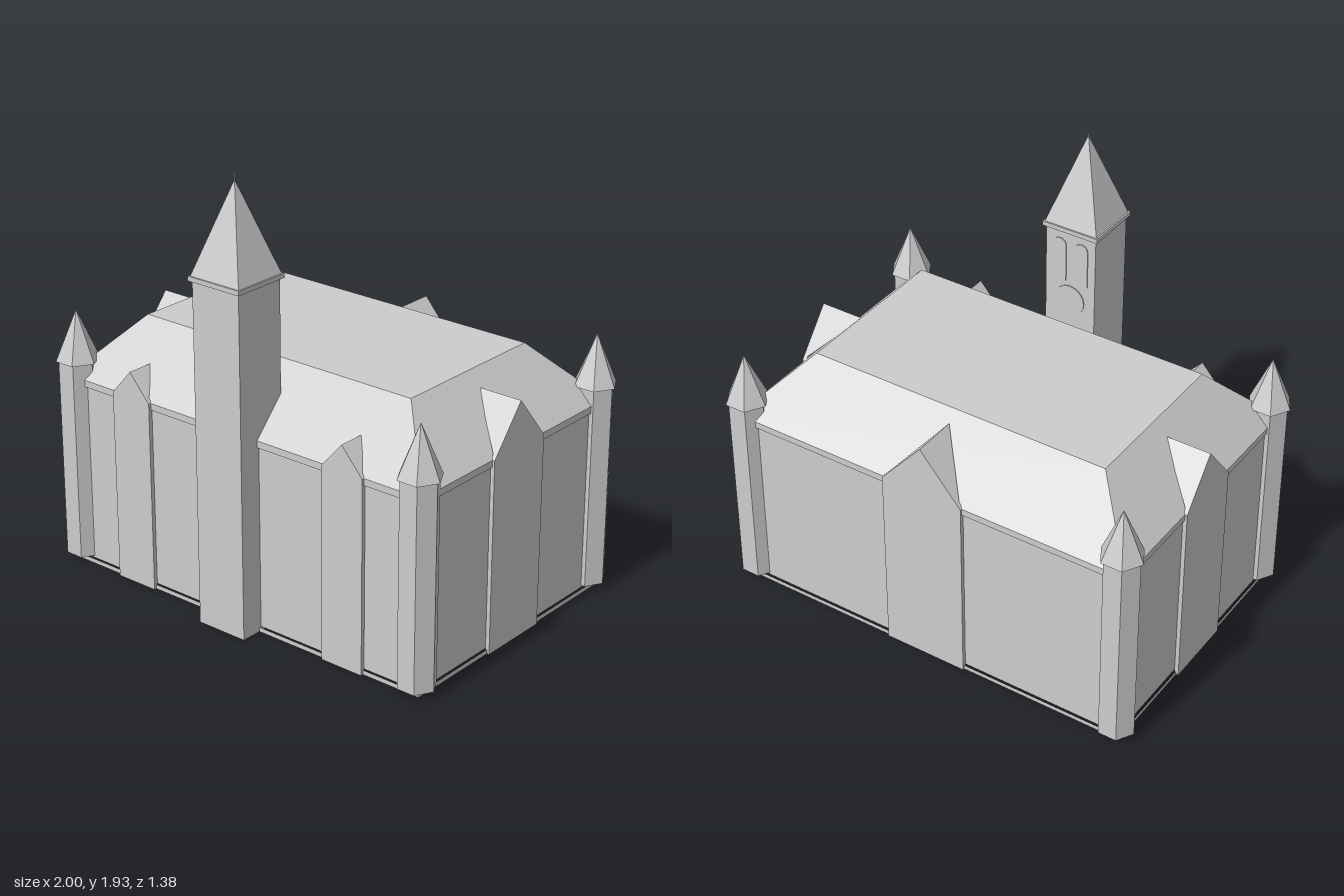
import * as THREE from 'three';

const stone = new THREE.MeshStandardMaterial({ color: 0xcccccc, side: THREE.DoubleSide, flatShading: true });
stone.name = 'pale grey stone';

const EAVE = 0.85, RIDGE = 1.11;
const X = 0.938, ZF = 0.585, ZB = -0.645;

function add(parent, name, geometry, x = 0, y = 0, z = 0, ry = 0) {
  const mesh = new THREE.Mesh(geometry, stone);
  mesh.name = name;
  mesh.position.set(x, y, z);
  mesh.rotation.y = ry;
  parent.add(mesh);
  return mesh;
}

// Flat polygons, each given as a loop of corners, fanned into triangles
function faces(polys) {
  const p = [];
  for (const poly of polys)
    for (let i = 1; i < poly.length - 1; i++) p.push(...poly[0], ...poly[i], ...poly[i + 1]);
  const g = new THREE.BufferGeometry();
  g.setAttribute('position', new THREE.Float32BufferAttribute(p, 3));
  g.computeVertexNormals();
  return g;
}

// Gabled bay facing its own +z, with a small roof running back into the main roof
function gable(parent, name, half, peak, depth, x, z, ry) {
  const bay = new THREE.Group();
  bay.name = name;
  bay.position.set(x, 0, z);
  bay.rotation.y = ry;
  const s = new THREE.Shape();
  s.moveTo(-half, 0);
  s.lineTo(half, 0);
  s.lineTo(half, EAVE);
  s.lineTo(0, peak);
  s.lineTo(-half, EAVE);
  const front = new THREE.ExtrudeGeometry(s, { depth: 0.018, bevelEnabled: false });
  add(bay, 'gableWall', front, 0, 0, -0.018);
  add(bay, 'gableRoof', faces([
    [[half, EAVE, 0], [0, peak, -depth], [0, peak, 0]],
    [[-half, EAVE, 0], [0, peak, 0], [0, peak, -depth]],
  ]));
  parent.add(bay);
}

export function createModel() {
  const model = new THREE.Group();
  model.name = 'towerHall';
  const zMid = (ZF + ZB) / 2, length = ZF - ZB;

  // Thin walls with a base strip and an eave strip set slightly forward
  const sides = [
    ['front', 0, ZF, 0, 2 * X], ['back', 0, ZB, Math.PI, 2 * X],
    ['left', X, zMid, Math.PI / 2, length], ['right', -X, zMid, -Math.PI / 2, length],
  ];
  for (const [name, x, z, ry, w] of sides) {
    const side = new THREE.Group();
    side.name = name + 'Side';
    side.position.set(x, 0, z);
    side.rotation.y = ry;
    add(side, 'wall', new THREE.PlaneGeometry(w - 0.02, 0.83), 0, 0.435, -0.01);
    add(side, 'baseStrip', new THREE.PlaneGeometry(w, 0.02), 0, 0.01, 0);
    add(side, 'eaveStrip', new THREE.PlaneGeometry(w, EAVE - 0.82), 0, (EAVE + 0.82) / 2, 0);
    model.add(side);
  }

  // Hipped roof with a flat top
  const low = [[-X, EAVE, ZF], [X, EAVE, ZF], [X, EAVE, ZB], [-X, EAVE, ZB]];
  const high = [[-0.695, RIDGE, 0.345], [0.695, RIDGE, 0.345], [0.695, RIDGE, -0.4], [-0.695, RIDGE, -0.4]];
  const roof = [high];
  for (let i = 0; i < 4; i++) {
    const j = (i + 1) % 4;
    roof.push([low[i], low[j], high[j], high[i]]);
  }
  add(model, 'mainRoof', faces(roof));

  // Gabled bays
  for (const s of [-1, 1]) {
    gable(model, 'frontGable', 0.102, 0.965, 0.127, s * 0.56, 0.597, 0);
    gable(model, 'sideGable', 0.165, 1.05, 0.205, s * 0.948, -0.025, s * Math.PI / 2);
  }
  gable(model, 'backGable', 0.19, 1.07, 0.203, 0, -0.653, Math.PI);

  // Six-sided corner turrets
  for (const x of [-0.905, 0.905]) {
    for (const z of [0.555, -0.61]) {
      const turret = new THREE.Group();
      turret.name = 'cornerTurret';
      turret.position.set(x, 0, z);
      add(turret, 'turretShaft', new THREE.CylinderGeometry(0.083, 0.083, 0.89, 6), 0, 0.475, 0, Math.PI / 6);
      add(turret, 'turretCap', new THREE.ConeGeometry(0.095, 0.222, 6), 0, 1.031, 0, Math.PI / 6);
      model.add(turret);
    }
  }

  // Front tower with cornice, spire and finial
  const tower = new THREE.Group();
  tower.name = 'tower';
  tower.position.z = 0.56;
  add(tower, 'towerShaft', new THREE.BoxGeometry(0.24, 1.49, 0.24), 0, 0.745, 0);
  add(tower, 'cornice', new THREE.BoxGeometry(0.264, 0.02, 0.264), 0, 1.5, 0);
  add(tower, 'spire', new THREE.ConeGeometry(0.125 * Math.SQRT2, 0.385, 4), 0, 1.7025, 0, Math.PI / 4);
  add(tower, 'finial', new THREE.CylinderGeometry(0.002, 0.004, 0.06, 6), 0, 1.9, 0);

  // Arched openings and round dial on the back of the tower
  const arch = new THREE.Shape();
  arch.moveTo(-0.032, 0);
  arch.lineTo(0.032, 0);
  arch.lineTo(0.032, 0.17);
  arch.absarc(0, 0.17, 0.032, 0, Math.PI, false);
  const archPlate = new THREE.ExtrudeGeometry(arch, { depth: 0.004, bevelEnabled: false, curveSegments: 8 });
  for (const s of [-1, 1]) add(tower, 'archPlate', archPlate, s * 0.052, 1.25, -0.12, Math.PI);
  const dial = new THREE.CylinderGeometry(0.07, 0.07, 0.004, 20).rotateX(Math.PI / 2);
  add(tower, 'dial', dial, 0, 1.16, -0.122);
  model.add(tower);

  return model;
}
